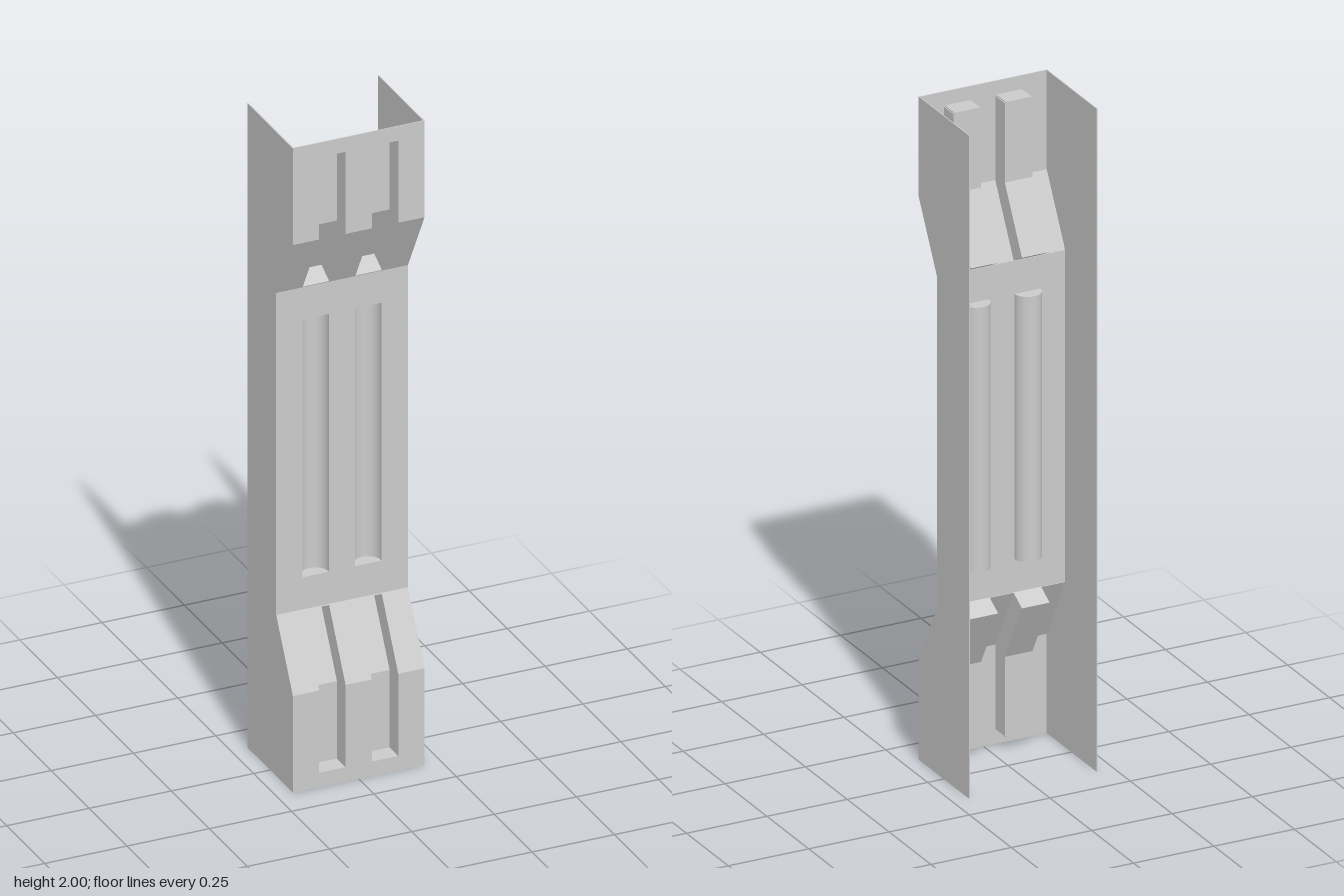
import * as THREE from 'three';

const T = 0.003;                      // sheet thickness
const W = 0.2;                        // half width
const FRONT = 0.15, WAIST = 0.04, BACK = -0.15;
const SLOT = { x: 0.08, half: 0.04, depth: 0.06, start: 0.045 };
const GROOVE = { r: 0.04, y0: 0.6, y1: 1.4 };

const grey = new THREE.MeshStandardMaterial({ color: 0xcccccc, side: THREE.DoubleSide });

function add(parent, name, geometry) {
  const mesh = new THREE.Mesh(geometry, grey);
  mesh.name = name;
  parent.add(mesh);
  return mesh;
}

// Prism from a side outline of [y, z] points, spanning x0..x1
function prism(points, x0, x1) {
  const shape = new THREE.Shape(points.map(([y, z]) => new THREE.Vector2(-z, y)));
  return new THREE.ExtrudeGeometry(shape, { depth: x1 - x0, bevelEnabled: false })
    .rotateY(Math.PI / 2).translate(x0, 0, 0);
}

// Front line of the end section, set back by d: upright, then sloping to the waist
const slope = Math.atan2(FRONT - WAIST, 0.2);
function line(y, d) {
  return [
    [y, FRONT - d],
    [0.3 - d * Math.tan(slope / 2), FRONT - d],
    [0.5 - d * Math.sin(slope), WAIST - d * Math.cos(slope)],
  ];
}
const band = (y, d0, d1) => [...line(y, d0), ...line(y, d1).reverse()];

function endSection(name) {
  const g = new THREE.Group();
  g.name = name;
  const inner = SLOT.x - SLOT.half, outer = SLOT.x + SLOT.half;

  // Face strips beside and between the slots
  for (const [x0, x1] of [[-W + T, -outer], [-inner, inner], [outer, W - T]])
    add(g, 'faceStrip', prism(band(0, 0, T), x0, x1));

  for (const s of [-1, 1]) {
    const x0 = s * SLOT.x - SLOT.half, x1 = s * SLOT.x + SLOT.half;
    const { depth, start } = SLOT;
    // Face below the slot
    add(g, 'faceEdge', prism([[0, FRONT], [start, FRONT], [start, FRONT - T], [0, FRONT - T]], x0, x1));
    // Bent slot floor and its two walls
    add(g, 'slotFloor', prism(band(start, depth - T, depth), x0, x1));
    add(g, 'slotWall', prism(band(start, 0, depth), x0 - T, x0));
    add(g, 'slotWall', prism(band(start, 0, depth), x1, x1 + T));
    // Flat cap at the outer end, tilted cap at the waist
    add(g, 'slotEndCap', prism(
      [[start - T, FRONT], [start, FRONT], [start, FRONT - depth], [start - T, FRONT - depth]], x0, x1));
    const a = line(0, 0)[2], b = line(0, depth)[2];
    const dy = T * Math.cos(slope), dz = T * Math.sin(slope);
    add(g, 'slotWaistCap', prism([a, b, [b[0] - dy, b[1] + dz], [a[0] - dy, a[1] + dz]], x0, x1));

    // Side flange
    add(g, 'sideFlange', prism([...line(0, 0), [0.5, BACK], [0, BACK]],
      s > 0 ? W - T : -W, s > 0 ? W : -W + T));
  }
  return g;
}

function middleSection() {
  const g = new THREE.Group();
  g.name = 'middleSection';

  // Front panel with two long openings
  const panel = new THREE.Shape([[-W, 0.5], [W, 0.5], [W, 1.5], [-W, 1.5]].map(p => new THREE.Vector2(...p)));
  const { r, y0, y1 } = GROOVE;
  for (const s of [-1, 1]) {
    const x = s * SLOT.x;
    panel.holes.push(new THREE.Path(
      [[x - r, y0], [x - r, y1], [x + r, y1], [x + r, y0]].map(p => new THREE.Vector2(...p))));

    // Half-round groove pressed toward the back, closed at both ends
    const groove = new THREE.CylinderGeometry(r, r, y1 - y0, 24, 1, true, Math.PI / 2, Math.PI);
    add(g, 'roundGroove', groove).position.set(x, (y0 + y1) / 2, WAIST - T);
    for (const y of [y0, y1]) {
      const cap = new THREE.CircleGeometry(r, 24, 0, Math.PI).rotateX(-Math.PI / 2);
      add(g, 'grooveCap', cap).position.set(x, y, WAIST - T);
    }

    // Side flange
    const flange = new THREE.BoxGeometry(T, 1, WAIST - BACK);
    add(g, 'sideFlange', flange).position.set(s * (W - T / 2), 1, (WAIST + BACK) / 2);
  }
  const sheet = new THREE.ExtrudeGeometry(panel, { depth: T, bevelEnabled: false });
  add(g, 'frontPanel', sheet).position.z = WAIST - T;
  return g;
}

export function createModel() {
  const model = new THREE.Group();
  model.name = 'ribbedChannel';
  const top = endSection('topSection');
  top.rotation.z = Math.PI;
  top.position.y = 2;
  model.add(endSection('bottomSection'), middleSection(), top);
  return model;
}
